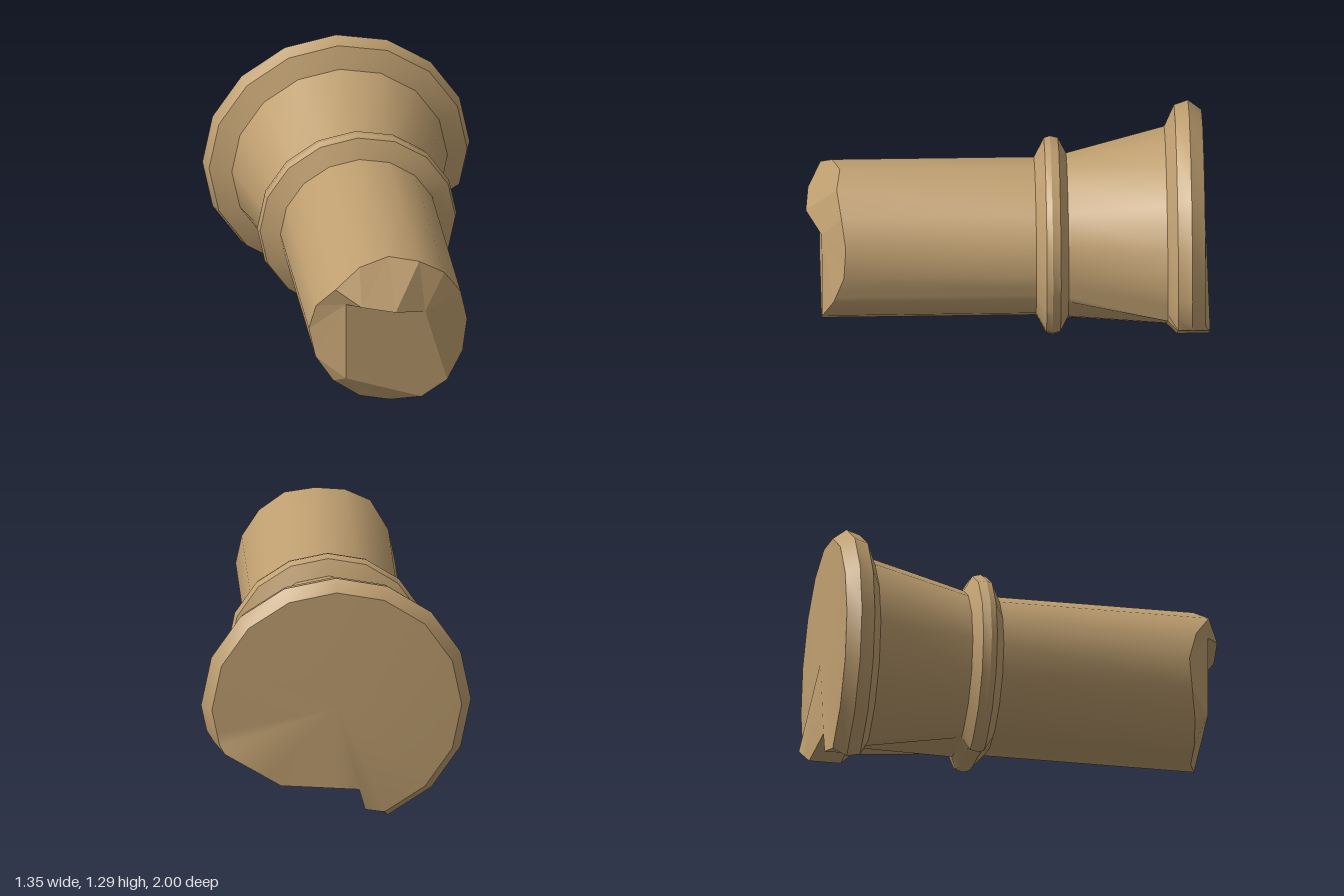
import * as THREE from 'three';
import { toCreasedNormals } from 'three/addons/utils/BufferGeometryUtils.js';

const SIDES = 16, STEP = Math.PI * 2 / SIDES, AXIS_Y = 0.63;

// Depth of the broken front rim at each of the 16 sides, counter-clockwise from +x
const RIM_Z = [0.82, 0.81, 0.83, 0.85, 0.83, 0.865, 0.92, 0.84, 0.8, 0.82, 0.85, 0.87, 0.88, 0.925, 0.925, 0.87];

// Body profile, front to back: [z, radius, chip scale]
const PROFILE = [
  [0, 0.397, 1], [-0.14, 0.397, 1],
  [-0.19, 0.492, 1], [-0.22, 0.502, 1], [-0.26, 0.492, 1], [-0.3, 0.415, 1],
  [-0.79, 0.543, 0.9], [-0.84, 0.65, 1], [-0.91, 0.673, 1], [-0.977, 0.623, 1],
];

// Outline of the chip out of the underside, relative to the axis
const CHIP = [[-0.258, -0.622], [-0.14, -0.55], [-0.11, -0.44], [0.28, -0.41], [0.61, -0.2], [0.655, -0.14]]
  .map(([x, y]) => ({ x, y, a: Math.atan2(y, x) }));

// Radius of the chip outline along an angle
function chipRadius(a) {
  for (let i = 0; i < CHIP.length - 1; i++) {
    const p = CHIP[i], q = CHIP[i + 1];
    if (a >= p.a && a <= q.a) {
      return (p.x * q.y - p.y * q.x) / (Math.cos(a) * (q.y - p.y) - Math.sin(a) * (q.x - p.x));
    }
  }
  return Infinity;
}

// Radius of a 16-sided section along an angle
function sectionRadius(r, a) {
  const t = ((a % STEP) + STEP) % STEP;
  return r * Math.cos(STEP / 2) / Math.cos(t - STEP / 2);
}

function rimDepth(a) {
  const k = (a / STEP + SIDES) % SIDES;
  const i = Math.floor(k + 1e-6) % SIDES;
  return THREE.MathUtils.lerp(RIM_Z[i], RIM_Z[(i + 1) % SIDES], Math.max(0, k - Math.floor(k + 1e-6)));
}

function fromTriangles(points) {
  const geometry = new THREE.BufferGeometry().setFromPoints(points);
  geometry.computeVertexNormals();
  return geometry;
}

// Shaft, collar, flare and base as one lofted skin
function bodyGeometry() {
  const angles = CHIP.slice(1).map((p) => p.a);
  for (let k = -7; k <= 8; k++) angles.push(k * STEP);
  angles.sort((a, b) => a - b);
  const n = angles.length;

  const rows = PROFILE.map(([z, r, s], j) => angles.map((a) => {
    const chip = chipRadius(a) * s;
    const full = sectionRadius(r, a);
    const rad = Math.min(full, chip);
    const last = j === PROFILE.length - 1;
    const depth = j === 0 ? rimDepth(a) : last && chip < full ? -1 : z;
    return new THREE.Vector3(Math.cos(a) * rad, AXIS_Y + Math.sin(a) * rad, depth);
  }));

  const tris = [];
  const hub = new THREE.Vector3(0, AXIS_Y, -0.995);
  const back = rows[rows.length - 1];
  for (let i = 0; i < n; i++) {
    const m = (i + 1) % n;
    for (let j = 0; j < rows.length - 1; j++) {
      const a = rows[j][i], b = rows[j][m], c = rows[j + 1][i], d = rows[j + 1][m];
      tris.push(a, c, b, b, c, d);
    }
    tris.push(hub, back[m], back[i]);
  }
  return toCreasedNormals(fromTriangles(tris), 0.5);
}

// Jagged broken end of the shaft: rim points 0-15 joined to inner points
function breakGeometry() {
  const p = RIM_Z.map((z, k) => new THREE.Vector3(
    Math.cos(k * STEP) * 0.397, AXIS_Y + Math.sin(k * STEP) * 0.397, z));
  const A = new THREE.Vector3(-0.23, 0.825, 0.925);
  const B = new THREE.Vector3(0.17, 0.75, 0.925);
  const E = new THREE.Vector3(-0.23, 0.4, 0.925);
  const G = new THREE.Vector3(-0.16, 0.835, 0.985);
  const H = new THREE.Vector3(0.01, 0.8, 1);
  const tris = [
    A, E, p[13], A, p[13], p[14], A, p[14], B,            // flat face
    A, B, H, A, H, G,                                     // ledge
    H, p[3], p[4], H, p[4], G, G, p[4], p[5], G, p[5], p[6], A, G, p[6], // upper spur
    A, p[9], E, E, p[9], p[10], B, p[3], H,
  ];
  const fan = (c, ks) => ks.slice(1).forEach((k, i) => tris.push(c, p[ks[i]], p[k]));
  fan(A, [6, 7, 8, 9]);            // left slope
  fan(E, [10, 11, 12, 13]);        // lower slope
  fan(B, [14, 15, 0, 1, 2, 3]);    // right slope
  return fromTriangles(tris);
}

export function createModel() {
  const model = new THREE.Group();
  model.name = 'brokenColumn';
  const add = (name, geometry, flatShading) => {
    const material = new THREE.MeshStandardMaterial({ color: 0xbf9f70, flatShading });
    const mesh = new THREE.Mesh(geometry, material);
    mesh.name = name;
    model.add(mesh);
  };
  add('columnBody', bodyGeometry(), false);
  add('brokenEnd', breakGeometry(), true);
  return model;
}
